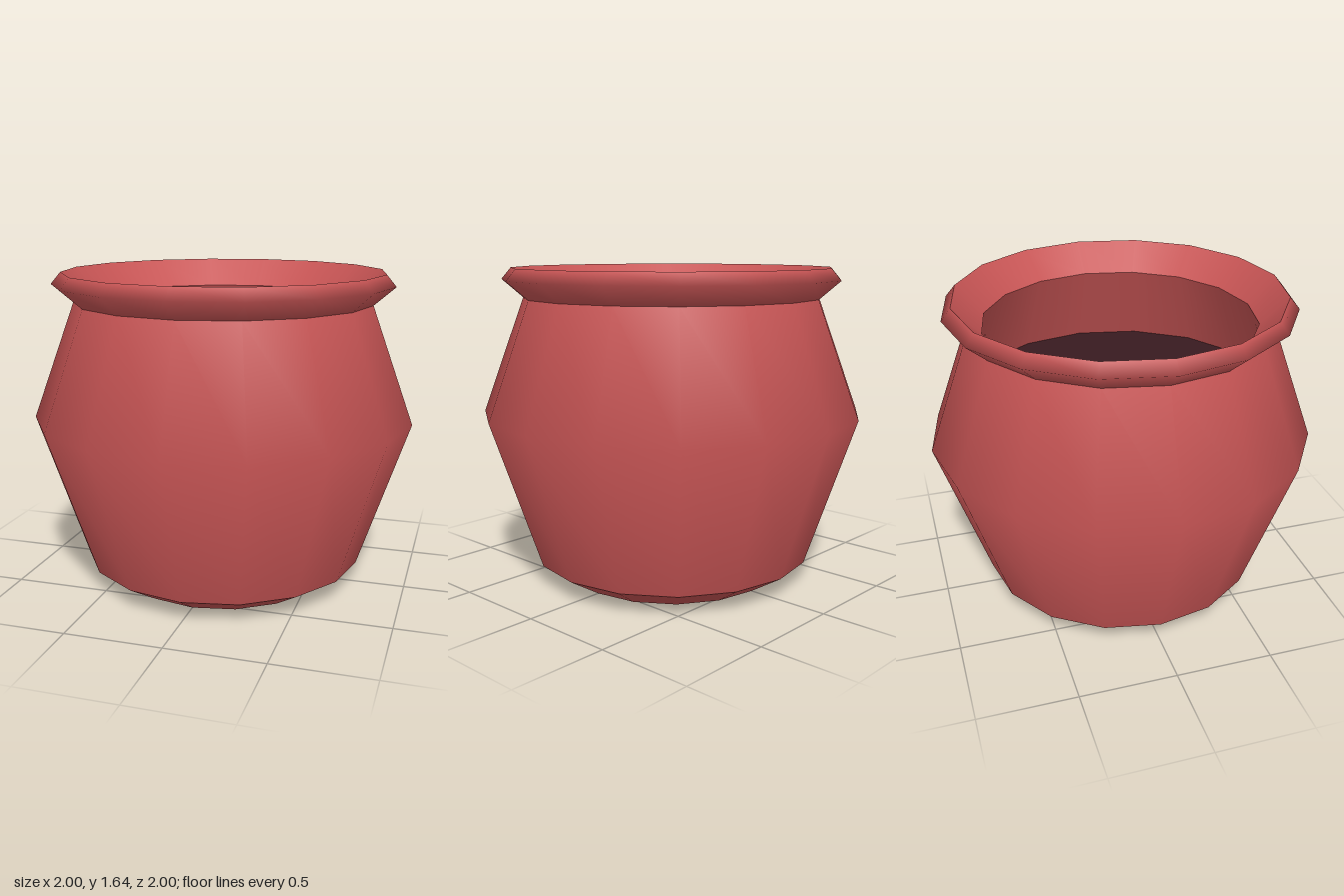
import * as THREE from 'three';

const SIDES = 16;

export function createModel() {
  const pot = new THREE.Group();
  pot.name = 'pot';
  const clay = new THREE.MeshStandardMaterial({ color: 0xc85555 });
  const dark = new THREE.MeshStandardMaterial({ color: 0x381a20 });

  // Each part is one smooth band turned around y; separate bands keep creases sharp.
  const turn = (name, profile, material = clay) => {
    const points = profile.map(([r, y]) => new THREE.Vector2(r, y));
    const mesh = new THREE.Mesh(new THREE.LatheGeometry(points, SIDES), material);
    mesh.name = name;
    pot.add(mesh);
  };

  // Outside, from the ground up
  turn('base', [[0, 0], [0.56, 0]]);
  turn('foot', [[0.56, 0], [0.74, 0.11]]);
  turn('body', [[0.74, 0.11], [1, 0.89], [0.78, 1.49]]);
  turn('rim', [[0.78, 1.49], [0.89, 1.585], [0.84, 1.645]]);

  // Inside, from the lip down to the contents
  turn('innerRim', [[0.84, 1.645], [0.7, 1.5]]);
  turn('innerWall', [[0.7, 1.5], [0.86, 1.07]]);
  turn('contents', [[0.86, 1.07], [0, 1.07]], dark);

  return pot;
}
